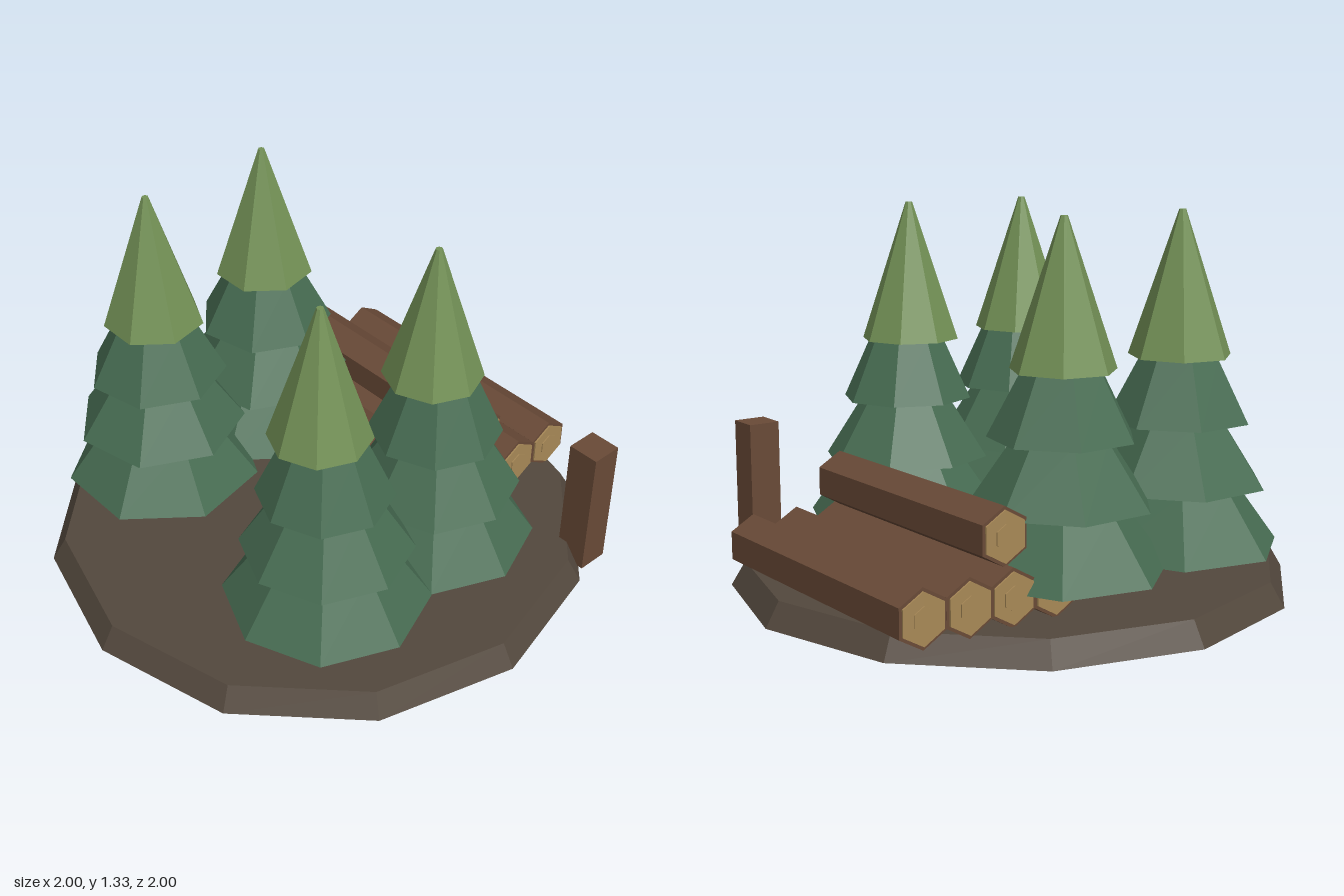
import * as THREE from 'three';

const mat = (name, color) => {
  const m = new THREE.MeshStandardMaterial({ color, flatShading: true });
  m.name = name;
  return m;
};

export function createModel() {
  const earth = mat('earth brown', 0x53483d);
  const bark = mat('bark brown', 0x694a37);
  const cutWood = mat('cut wood tan', 0xa88957);
  const needles = mat('dark green', 0x476c52);
  const tipGreen = mat('light green', 0x739156);

  const model = new THREE.Group();
  model.name = 'forestClearing';

  const add = (parent, name, geometry, material, x = 0, y = 0, z = 0) => {
    const mesh = new THREE.Mesh(geometry, material);
    mesh.name = name;
    mesh.position.set(x, y, z);
    parent.add(mesh);
    return mesh;
  };

  // Twelve-sided ground slab
  add(model, 'ground', new THREE.CylinderGeometry(0.95, 1, 0.085, 12), earth, 0, 0.0425, 0);

  // Tiers: bottom height, top height, bottom radius, top radius, x offset, turn
  const leftTiers = [
    [0.175, 0.395, 0.36, 0.2, 0, Math.PI],
    [0.395, 0.615, 0.31, 0.16, 0, Math.PI / 2],
    [0.615, 0.835, 0.25, 0.135, 0, Math.PI / 2],
    [0.835, 1.33, 0.18, 0.012, 0, Math.PI],
  ];
  const rightTiers = [
    [0.175, 0.395, 0.364, 0.21, 0.035, 0],
    [0.395, 0.615, 0.3, 0.16, 0.035, 0],
    [0.615, 0.835, 0.235, 0.135, 0.025, 0],
    [0.835, 1.33, 0.176, 0.012, 0, 0],
  ];

  const addTree = (name, x, z, tiers, sides) => {
    const tree = new THREE.Group();
    tree.name = name;
    tree.position.set(x, 0, z);
    add(tree, 'trunk', new THREE.CylinderGeometry(0.05, 0.065, 0.2, 6), bark, 0.01, 0.1, 0);
    tiers.forEach(([y0, y1, r0, r1, dx, turn], i) => {
      const tip = i === tiers.length - 1;
      const tier = add(tree, tip ? 'treeTip' : 'branchTier' + (i + 1),
        new THREE.CylinderGeometry(r1, r0, y1 - y0, sides), tip ? tipGreen : needles,
        dx, (y0 + y1) / 2, 0);
      tier.rotation.y = turn;
    });
    model.add(tree);
  };
  for (const [row, z] of [['Back', -0.17], ['Front', 0.34]]) {
    addTree('tree' + row + 'Right', -0.5, z, leftTiers, 7);
    addTree('tree' + row + 'Left', 0.39, z, rightTiers, 8);
  }

  // Hexagonal logs lying along x, with a ridge on top
  const addLog = (name, x, y, z, length) => {
    const log = new THREE.Group();
    log.name = name;
    log.position.set(x, y, z);
    const across = (part, radius, len, material, px) => {
      const g = new THREE.CylinderGeometry(radius, radius, len, 6);
      g.rotateY(Math.PI / 2).rotateZ(Math.PI / 2);
      add(log, part, g, material, px);
    };
    across('logBark', 0.098, length, bark, 0);
    for (const s of [-1, 1]) {
      across('cutEnd', 0.086, 0.012, cutWood, s * length / 2);
      across('cutCore', 0.042, 0.008, cutWood, s * (length / 2 + 0.006));
    }
    model.add(log);
  };
  [-0.83, -0.66, -0.495, -0.328].forEach((z, i) =>
    addLog('bottomLog' + (i + 1), -0.137, 0.177, z, 1.055));
  addLog('topLog', -0.137, 0.365, -0.5, 0.98);

  // Square post at the edge
  add(model, 'post', new THREE.BoxGeometry(0.118, 0.505, 0.118), bark, 0.777, 0.2625, -0.603);

  return model;
}
